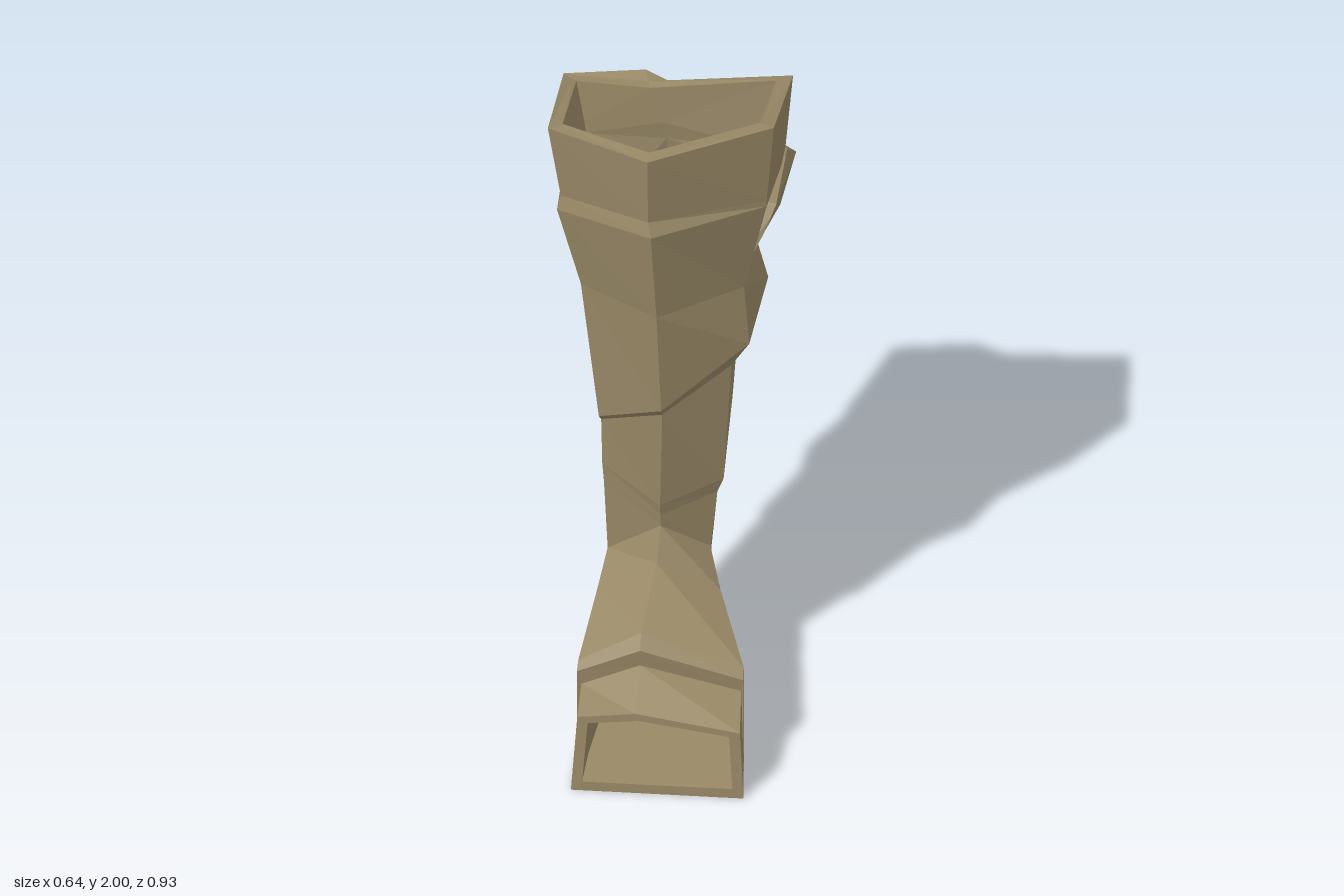
import * as THREE from 'three';

// Faceted skin between successive rows of points; closed rows wrap round
function loft(rows, closed, flip = false) {
  const pos = [];
  const tri = (a, b, c) => (flip ? pos.push(...a, ...c, ...b) : pos.push(...a, ...b, ...c));
  for (let r = 0; r < rows.length - 1; r++) {
    const a = rows[r], b = rows[r + 1], n = a.length;
    for (let i = 0; i < (closed ? n : n - 1); i++) {
      const j = (i + 1) % n;
      tri(a[i], b[i], b[j]);
      tri(a[i], b[j], a[j]);
    }
  }
  const g = new THREE.BufferGeometry();
  g.setAttribute('position', new THREE.Float32BufferAttribute(pos, 3));
  g.computeVertexNormals();
  return g;
}

// Ring shrunk sideways towards its own middle
function inset(ring, k) {
  const cx = ring.reduce((s, p) => s + p[0], 0) / ring.length;
  const cz = ring.reduce((s, p) => s + p[2], 0) / ring.length;
  return ring.map(([x, y, z]) => [cx + (x - cx) * k, y, cz + (z - cz) * k]);
}

export function createModel() {
  const boot = new THREE.Group();
  boot.name = 'wrappedBoot';
  const leather = new THREE.MeshStandardMaterial({ color: 0x988866 });
  leather.name = 'tan leather';
  leather.flatShading = true;
  leather.side = THREE.DoubleSide;
  const add = (name, geometry) => {
    const m = new THREE.Mesh(geometry, leather);
    m.name = name;
    boot.add(m);
  };

  // Six-sided shaft, top down: front, left front, left back, back, right back, right front
  const rim = [[-0.03, 2, 0.24], [0.3, 1.985, 0.02], [0.315, 1.895, -0.355],
    [-0.09, 1.835, -0.37], [-0.325, 1.85, -0.36], [-0.325, 1.97, 0.065]];
  const cuff = [
    [[-0.03, 1.78, 0.22], [0.28, 1.735, 0.02], [0.295, 1.66, -0.345],
      [-0.05, 1.72, -0.37], [-0.3, 1.72, -0.35], [-0.29, 1.735, 0.055]],
    [[-0.02, 1.74, 0.24], [0.28, 1.715, 0.02], [0.285, 1.6, -0.34],
      [-0.04, 1.66, -0.38], [-0.295, 1.68, -0.35], [-0.3, 1.69, 0.06]],
    [[-0.01, 1.43, 0.185], [0.215, 1.42, 0], [0.215, 1.36, -0.32],
      [-0.02, 1.36, -0.43], [-0.25, 1.42, -0.33], [-0.235, 1.43, 0.045]],
  ];
  // Overhanging wrap, slanting down to the right front
  const wrap = [
    [[0, 1.09, 0.155], [0.23, 1.23, 0.005], [0.25, 1.23, -0.315],
      [-0.02, 1.23, -0.465], [-0.25, 1.23, -0.33], [-0.185, 0.98, 0.045]],
    [[0, 1.06, 0.13], [0.18, 1.15, 0], [0.175, 1.18, -0.315],
      [-0.02, 1.18, -0.41], [-0.215, 1.18, -0.3], [-0.18, 0.96, 0.03]],
  ];
  // Small lower step
  const shin = [
    [[-0.01, 0.72, 0.09], [0.158, 0.76, 0], [0.155, 0.85, -0.28],
      [-0.02, 0.85, -0.395], [-0.185, 0.85, -0.3], [-0.178, 0.8, 0.02]],
    [[-0.01, 0.68, 0.08], [0.14, 0.71, -0.005], [0.135, 0.81, -0.265],
      [-0.02, 0.81, -0.36], [-0.17, 0.81, -0.28], [-0.174, 0.74, 0.015]],
  ];
  const ankle = [[-0.01, 0.64, 0.075], [0.12, 0.52, -0.01], [0.1, 0.35, -0.23],
    [-0.01, 0.35, -0.3], [-0.13, 0.35, -0.24], [-0.165, 0.5, 0]];
  const shaft = [rim, ...cuff, ...wrap, ...shin, ankle];
  add('shaft', loft(shaft, true));
  add('shaftLining', loft(shaft.map((r) => inset(r, 0.87)), true, true));
  add('shaftRim', loft([inset(rim, 0.9), rim], true));
  add('rimLip', loft([inset(rim, 0.9), inset(rim, 0.87)], true, true));

  // Loose fold sagging round the back of the cuff
  add('backFold', loft([
    [[0.285, 1.57, -0.2], [0.3, 1.65, -0.345], [0.13, 1.75, -0.36], [-0.09, 1.83, -0.37], [-0.325, 1.85, -0.36]],
    [[0.285, 1.565, -0.2], [0.32, 1.61, -0.39], [0.135, 1.68, -0.455], [-0.1, 1.845, -0.41], [-0.325, 1.85, -0.362]],
    [[0.255, 1.48, -0.19], [0.28, 1.455, -0.35], [0.06, 1.42, -0.44], [-0.11, 1.43, -0.425], [-0.262, 1.47, -0.342]],
    [[0.216, 1.385, -0.19], [0.217, 1.36, -0.322], [0.04, 1.36, -0.405], [-0.02, 1.36, -0.432], [-0.251, 1.42, -0.331]],
  ], false));

  // Heel flaring from the ankle to the ground
  const heelGround = [[0.2, 0, 0.01], [0.13, 0, -0.3], [-0.02, 0, -0.312], [-0.2, 0, -0.3], [-0.18, 0, 0.02]];
  add('heel', loft([ankle.slice(1), heelGround], false));
  const hub = heelGround.map(() => [-0.01, 0, -0.12]);
  add('heelSole', loft([heelGround, hub], true));

  // Forefoot arches from ankle to toe: right sole, right side, ridge, left side, left sole
  const arch = [
    [heelGround[4], ankle[5], ankle[0], ankle[1], heelGround[0]],
    [[-0.195, 0, 0.13], [-0.182, 0.44, 0.11], [-0.015, 0.55, 0.13], [0.16, 0.45, 0.1], [0.22, 0, 0.13]],
    [[-0.215, 0, 0.31], [-0.215, 0.335, 0.31], [-0.04, 0.44, 0.31], [0.245, 0.335, 0.3], [0.245, 0, 0.3]],
    [[-0.216, 0, 0.33], [-0.217, 0.31, 0.33], [-0.04, 0.4, 0.34], [0.247, 0.31, 0.325], [0.247, 0, 0.32]],
    [[-0.216, 0, 0.33], [-0.205, 0.265, 0.325], [-0.04, 0.345, 0.332], [0.24, 0.27, 0.32], [0.247, 0, 0.32]],
    [[-0.22, 0, 0.462], [-0.203, 0.245, 0.455], [-0.04, 0.268, 0.456], [0.25, 0.222, 0.455], [0.26, 0, 0.455]],
  ];
  add('forefoot', loft(arch, true));

  // Hollow inside of the open toe
  const inner = [0, 1, 4, 5].map((i) => arch[i].map(([x, y, z]) => [0.02 + (x - 0.02) * 0.87, 0.03 + y * 0.8, z]));
  add('toeLining', loft(inner, true, true));
  add('toeRim', loft([arch[5], inner[3]], true));

  return boot;
}
